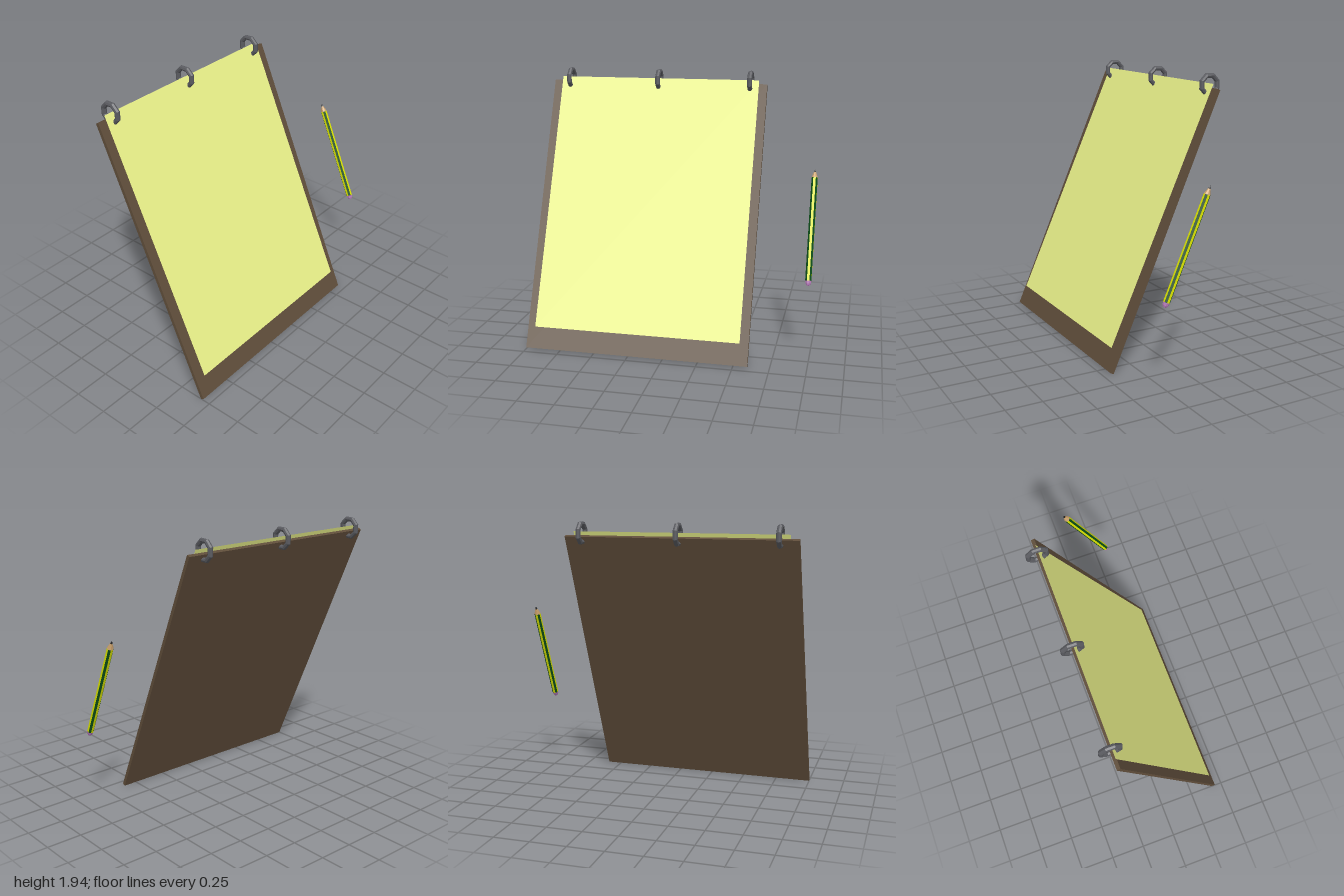
import * as THREE from 'three';
import { mergeGeometries } from 'three/addons/utils/BufferGeometryUtils.js';

const LEAN = THREE.MathUtils.degToRad(23.5);

function add(parent, name, geometry, color, options = {}) {
  const material = new THREE.MeshStandardMaterial({ color, flatShading: true, ...options });
  const mesh = new THREE.Mesh(geometry, material);
  mesh.name = name;
  parent.add(mesh);
  return mesh;
}

// Leaning board with a sheet that lifts slightly off it towards the bottom
function createPad() {
  const pad = new THREE.Group();
  pad.name = 'pad';
  pad.position.set(0.037, 0.925, 0.2);
  pad.rotation.z = LEAN;
  add(pad, 'backBoard', new THREE.BoxGeometry(0.025, 2.005, 1.6), 0x5f4d3a);
  const sheet = new THREE.PlaneGeometry(1.48, 1.88).rotateY(Math.PI / 2);
  const paper = add(pad, 'paper', sheet, 0xeaf28a, { side: THREE.DoubleSide });
  paper.position.set(0.026, 0.09, 0);
  paper.rotation.z = 0.0114;
  return pad;
}

// Octagonal pencil with alternating stripes, standing along its own y axis
function createPencil() {
  const pencil = new THREE.Group();
  pencil.name = 'pencil';
  const r = 0.0225, bottom = -0.37, top = 0.345, tip = 0.405;
  const step = Math.PI / 4;

  const stripes = [[], []];
  for (let i = 0; i < 8; i++) {
    const face = new THREE.CylinderGeometry(r, r, top - bottom, 1, 1, true, (i - 0.5) * step, step);
    stripes[i % 2].push(face.translate(0, (top + bottom) / 2, 0));
  }
  add(pencil, 'yellowStripes', mergeGeometries(stripes[0]), 0xdde600);
  add(pencil, 'greenStripes', mergeGeometries(stripes[1]), 0x0b4d18);

  // Turned end pieces, each given as radius and height pairs
  const turned = (name, points, color) => add(pencil, name, new THREE.LatheGeometry(
    points.map(([x, y]) => new THREE.Vector2(x, y)), 8, -step / 2), color);
  turned('sharpenedWood', [[r, top], [0.008, 0.384]], 0xc9a06c);
  turned('lead', [[0.008, 0.384], [0, tip]], 0x222222);
  turned('eraser', [[0, -0.405], [0.012, -0.402], [0.019, -0.39], [r, bottom]], 0xb77dbb);

  pencil.position.set(0.106, 0.932, -0.98);
  pencil.rotation.z = LEAN;
  return pencil;
}

export function createModel() {
  const model = new THREE.Group();
  model.name = 'notepadAndPencil';
  model.add(createPad(), createPencil());

  // Binding rings along the top edge
  const ringShape = new THREE.TorusGeometry(0.065, 0.018, 8, 8);
  for (const z of [0.877, 0.2, -0.477]) {
    const ring = add(model, 'bindingRing', ringShape, 0x5a5b60);
    ring.position.set(-0.37, 1.865, z);
    ring.rotation.z = LEAN;
  }
  return model;
}
